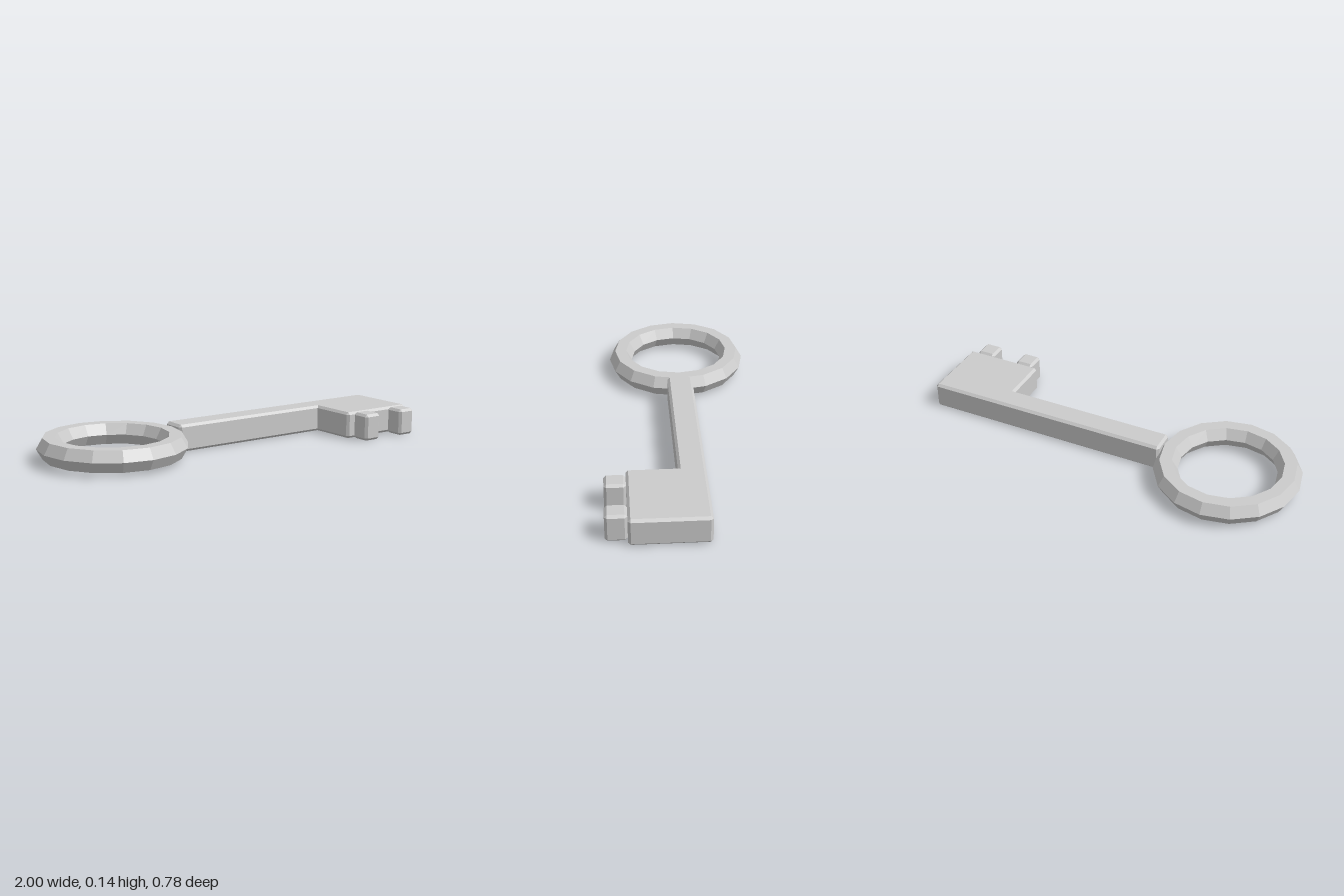
import * as THREE from 'three';

const HEIGHT = 0.137;
const BEVEL = 0.0125;

// Upright prism with chamfered edges from a right-angled [x, z] outline,
// listed counterclockwise as seen from above.
function chamferedPrism(outline) {
  const n = outline.length;
  const pts = outline.map(([x, z]) => new THREE.Vector2(x, z));
  const normals = pts.map((p, i) => {
    const d = pts[(i + 1) % n].clone().sub(p).normalize();
    return new THREE.Vector2(-d.y, d.x);
  });

  // inner: outline of the caps; wide: outline of the walls, two points per corner
  const inner = [], wide = [];
  pts.forEach((p, i) => {
    const a = normals[(i + n - 1) % n], b = normals[i];
    const q = p.clone().addScaledVector(a, -BEVEL).addScaledVector(b, -BEVEL);
    inner.push(q);
    const convex = a.x * b.y - a.y * b.x < 0;
    for (const m of [a, b]) wide.push(convex ? q.clone().addScaledVector(m, BEVEL) : p);
  });

  const at = (p, y) => new THREE.Vector3(p.x, y, p.y);
  const positions = [];
  const tri = (a, b, c) => {
    if (a.equals(b) || b.equals(c) || c.equals(a)) return;
    for (const v of [a, b, c]) positions.push(v.x, v.y, v.z);
  };

  // Chamfers and walls, from the lower cap to the upper one
  const doubled = inner.flatMap((p) => [p, p]);
  const rings = [[doubled, 0], [wide, BEVEL], [wide, HEIGHT - BEVEL], [doubled, HEIGHT]]
    .map(([loop, y]) => loop.map((p) => at(p, y)));
  for (let k = 0; k < 3; k++) {
    for (let i = 0; i < 2 * n; i++) {
      const j = (i + 1) % (2 * n);
      tri(rings[k][i], rings[k][j], rings[k + 1][j]);
      tri(rings[k][i], rings[k + 1][j], rings[k + 1][i]);
    }
  }

  // Flat caps
  const flat = inner.map((p) => new THREE.Vector2(p.x, -p.y));
  for (const [a, b, c] of THREE.ShapeUtils.triangulateShape(flat, [])) {
    tri(at(inner[a], HEIGHT), at(inner[b], HEIGHT), at(inner[c], HEIGHT));
    tri(at(inner[c], 0), at(inner[b], 0), at(inner[a], 0));
  }

  const geometry = new THREE.BufferGeometry();
  geometry.setAttribute('position', new THREE.Float32BufferAttribute(positions, 3));
  geometry.computeVertexNormals();
  return geometry;
}

export function createModel() {
  const key = new THREE.Group();
  key.name = 'key';
  const material = new THREE.MeshStandardMaterial({ color: 0xcccccc, flatShading: true });
  const add = (name, geometry) => {
    const mesh = new THREE.Mesh(geometry, material);
    mesh.name = name;
    key.add(mesh);
    return mesh;
  };

  // Ring handle with a hexagonal cross-section
  const ring = add('ringHandle', new THREE.TorusGeometry(0.305, 0.061, 6, 16).rotateX(Math.PI / 2));
  ring.position.set(-0.634, 0.07, -0.023);

  // Shaft and bit in one L-shaped piece
  add('shaftAndBit', chamferedPrism([
    [-0.292, 0.043], [0.59, 0.043], [0.59, 0.286],
    [1, 0.286], [1, -0.088], [-0.292, -0.088],
  ]));

  // Two teeth on the edge of the bit
  [0.675, 0.914].forEach((x, i) => {
    const w = 0.049;
    add(`tooth${i + 1}`, chamferedPrism([
      [x - w, 0.388], [x + w, 0.388], [x + w, 0.286], [x - w, 0.286],
    ]));
  });

  return key;
}
